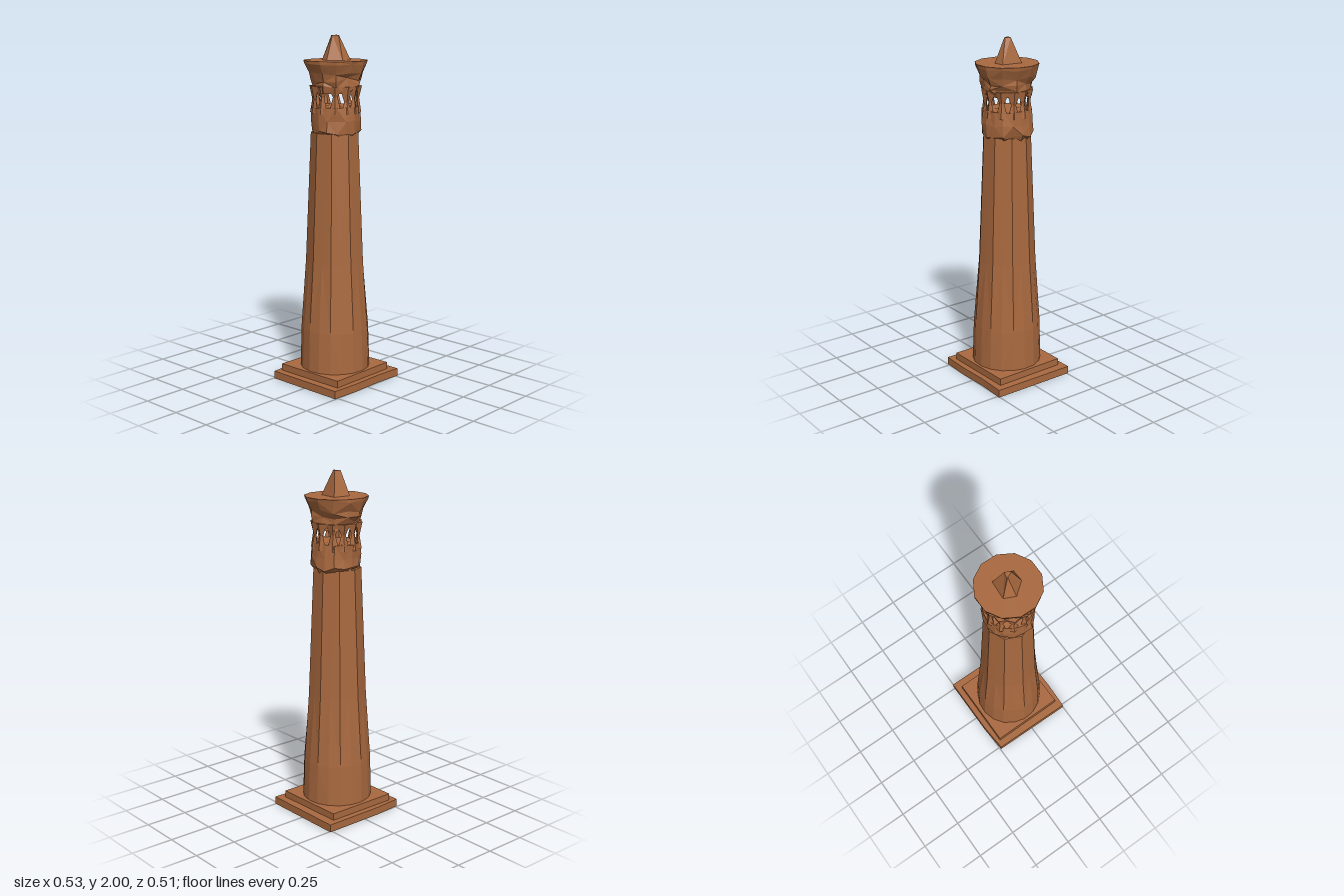
import * as THREE from 'three';

const clay = new THREE.MeshStandardMaterial({ color: 0xa9693f, flatShading: true });
clay.name = 'terracotta';

// Seeded random numbers in -1..1
function seeded(seed) {
  return () => {
    seed = (seed * 16807) % 2147483647;
    return (seed / 2147483647) * 2 - 1;
  };
}

// Joins closed rings (arrays of Vector3, counted from bottom to top) and caps both ends
function loft(name, rings) {
  const n = rings[0].length, pos = [];
  const tri = (a, b, c) => [a, b, c].forEach((p) => pos.push(p.x, p.y, p.z));
  for (let k = 0; k < rings.length - 1; k++) {
    const lo = rings[k], hi = rings[k + 1];
    for (let i = 0; i < n; i++) {
      const j = (i + 1) % n;
      if ((i + k) % 2) { tri(lo[i], lo[j], hi[j]); tri(lo[i], hi[j], hi[i]); }
      else { tri(lo[i], lo[j], hi[i]); tri(lo[j], hi[j], hi[i]); }
    }
  }
  const middle = (ring) => ring.reduce((s, p) => s.add(p), new THREE.Vector3()).divideScalar(n);
  const first = rings[0], last = rings[rings.length - 1];
  const bottom = middle(first), top = middle(last);
  for (let i = 0; i < n; i++) {
    const j = (i + 1) % n;
    tri(bottom, first[j], first[i]);
    tri(top, last[i], last[j]);
  }
  const g = new THREE.BufferGeometry();
  g.setAttribute('position', new THREE.Float32BufferAttribute(pos, 3));
  g.computeVertexNormals();
  const mesh = new THREE.Mesh(g, clay);
  mesh.name = name;
  return mesh;
}

// Round ring; turn runs from +z towards +x so sides face outwards
const at = (angle, r, y, cx = 0) => new THREE.Vector3(cx + Math.sin(angle) * r, y, Math.cos(angle) * r);
const polygon = (points, y) => points.map(([x, z]) => new THREE.Vector3(x, y, z));

// Rings of [y, radius, roughness]
function roughRings(profile, n, seed, turn = 0) {
  const rnd = seeded(seed);
  return profile.map(([y, r, rough]) => Array.from({ length: n }, (_, i) =>
    at(turn + (i / n) * Math.PI * 2 + rnd() * rough * 2, r + rnd() * rough, y + rnd() * rough)));
}

export function createModel() {
  const model = new THREE.Group();
  model.name = 'tower';

  // Stepped, slightly crooked square base
  const lowerSlab = [[-0.268, 0.247], [-0.1, 0.253], [0.1, 0.247], [0.265, 0.255], [0.265, -0.257], [-0.1, -0.257], [-0.264, -0.245]];
  model.add(loft('lowerSlab', [polygon(lowerSlab, 0), polygon(lowerSlab, 0.045)]));
  const upperSlab = [[-0.218, 0.218], [0.22, 0.212], [0.211, -0.222], [-0.222, -0.224]];
  model.add(loft('upperSlab', [polygon(upperSlab, 0.04), polygon(upperSlab, 0.085)]));

  // Shaft: eighteen sides at the foot flattening to nine broad faces above
  const profile = [[0.08, 0.202, 0], [0.32, 0.196, 0.2], [0.72, 0.168, 0.85], [1.46, 0.137, 1]];
  const rings = profile.map(([y, r, flat]) => Array.from({ length: 18 }, (_, i) => {
    const chord = i % 2 ? 1 + (Math.cos(Math.PI / 9) - 1) * flat : 1;
    return at(0.44 + (i * Math.PI) / 9, r * chord, y, -0.004);
  }));
  model.add(loft('shaft', rings));

  // Rough bowl under the lantern
  model.add(loft('lanternBowl', roughRings([
    [1.435, 0.115, 0.012], [1.47, 0.138, 0.012], [1.53, 0.14, 0.008], [1.605, 0.138, 0.005],
  ], 16, 77)));

  // Ring of broken pillars around the open lantern
  const pillars = new THREE.Group();
  pillars.name = 'lanternPillars';
  const rnd = seeded(431);
  const count = 12;
  for (let i = 0; i < count; i++) {
    const a = ((i + 0.3 + rnd() * 0.12) / count) * Math.PI * 2;
    const waist = 1.65 + rnd() * 0.015;
    const segment = (name, y0, y1, r0, r1) => {
      const g = new THREE.CylinderGeometry(r1, r0, y1 - y0, 4);
      g.scale(1, 1, 0.55);
      const m = new THREE.Mesh(g, clay);
      m.name = name;
      m.position.copy(at(a, 0.125, (y0 + y1) / 2));
      m.rotation.y = a;
      pillars.add(m);
    };
    segment('pillarFoot', 1.57, waist, 0.036, 0.013);
    segment('pillarHead', waist, 1.72, 0.013, 0.042);
  }
  model.add(pillars);

  // Jagged, flaring crown with a flat top
  model.add(loft('crown', roughRings([
    [1.69, 0.128, 0.012], [1.72, 0.137, 0.014], [1.76, 0.142, 0.014], [1.79, 0.154, 0.01],
    [1.845, 0.178, 0.005], [1.862, 0.18, 0],
  ], 12, 2024, 0.25)));

  // Five-sided spire with a blunt tip
  const foot = [[-0.018, 0.073], [0.053, 0.07], [0.065, -0.057], [-0.045, -0.065], [-0.075, 0]];
  const tip = [[0.002, 0.02], [0.008, 0.018], [0.021, -0.01], [-0.014, -0.019], [-0.012, -0.012]];
  model.add(loft('spire', [polygon(foot, 1.855), polygon(tip, 2)]));

  return model;
}
